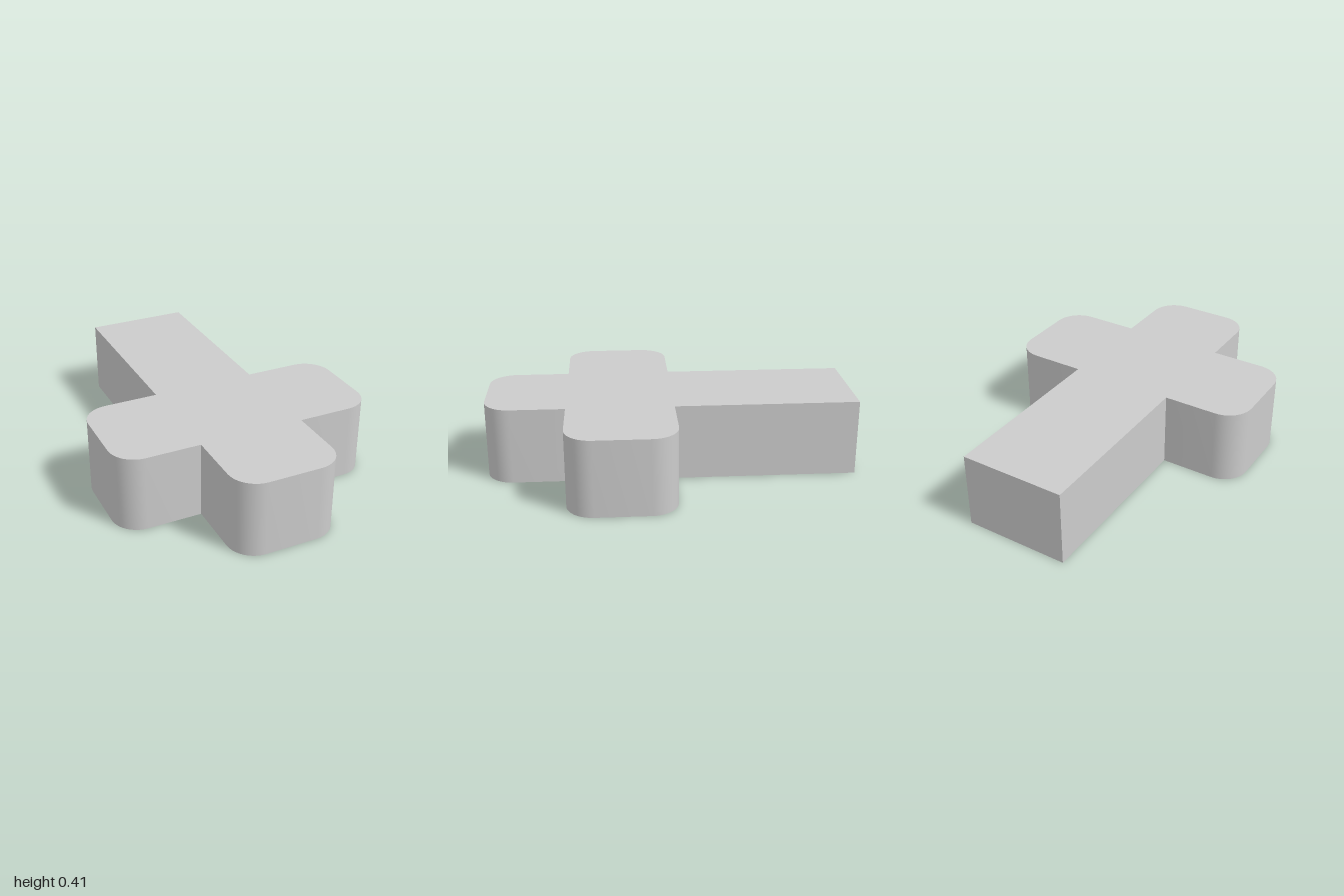
import * as THREE from 'three';
import { toCreasedNormals } from 'three/addons/utils/BufferGeometryUtils.js';

const HEIGHT = 0.415, R = 0.143;

// Closed outline from [x, z, radius] corners; rounded corners are circular arcs.
function roundedOutline(corners) {
  const shape = new THREE.Shape();
  const pts = corners.map(([x, z]) => new THREE.Vector2(x, -z));
  const n = pts.length;
  pts.forEach((p, i) => {
    const r = corners[i][2] || 0;
    const toPrev = pts[(i + n - 1) % n].clone().sub(p).normalize();
    const toNext = pts[(i + 1) % n].clone().sub(p).normalize();
    const at = (dir, d) => p.clone().addScaledVector(dir, d);
    const a = at(toPrev, r), b = at(toNext, r);
    if (i === 0) shape.moveTo(a.x, a.y);
    else shape.lineTo(a.x, a.y);
    if (r > 0) {
      const c = at(toPrev, r * 0.4477), d = at(toNext, r * 0.4477);
      shape.bezierCurveTo(c.x, c.y, d.x, d.y, b.x, b.y);
    }
  });
  shape.closePath();
  return shape;
}

export function createModel() {
  const group = new THREE.Group();
  group.name = 'crossBlock';

  // Left half of the outline, front to back, then mirrored for the right half
  const half = [
    [0.285, 1, R],
    [0.285, 0.565],
    [0.72, 0.565, R],
    [0.72, -0.01, R],
    [0.285, -0.01],
    [0.285, -1],
  ];
  const mirrored = half.map(([x, z, r]) => [-x, z, r]).reverse();
  const outline = roundedOutline([...half, ...mirrored]);

  // Cross-shaped slab with a square-ended stem and three rounded lobes
  const extruded = new THREE.ExtrudeGeometry(outline, {
    depth: HEIGHT, bevelEnabled: false, curveSegments: 10,
  });
  extruded.rotateX(-Math.PI / 2);

  const body = new THREE.Mesh(
    toCreasedNormals(extruded, 0.5),
    new THREE.MeshStandardMaterial({ color: 0xcccccc }),
  );
  body.name = 'crossBody';
  group.add(body);
  return group;
}
